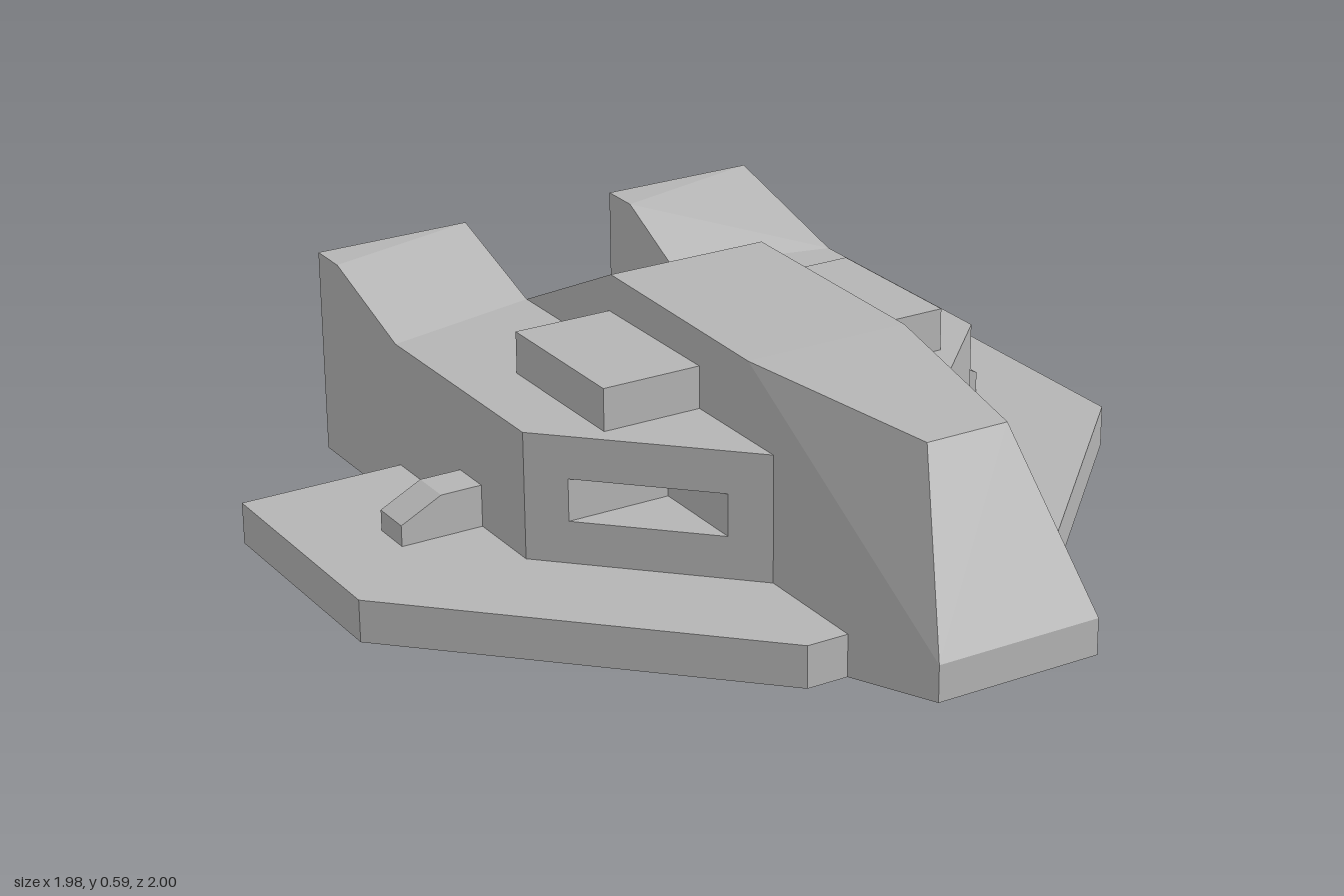
import * as THREE from 'three';
import { ConvexGeometry } from 'three/addons/geometries/ConvexGeometry.js';

const hullGrey = new THREE.MeshStandardMaterial({ color: 0xb4b4b4, flatShading: true });
hullGrey.name = 'hullGrey';

function addMesh(group, name, geometry) {
  const mesh = new THREE.Mesh(geometry, hullGrey);
  mesh.name = name;
  group.add(mesh);
}

// Horizontal slab from the +x half of a mirrored plan outline of [x, z] points.
function slab(half, y0, y1) {
  const mirrored = half.map(([x, z]) => [-x, z]).reverse();
  const shape = new THREE.Shape([...half, ...mirrored].map(([x, z]) => new THREE.Vector2(x, -z)));
  const geo = new THREE.ExtrudeGeometry(shape, { depth: y1 - y0, bevelEnabled: false });
  return geo.rotateX(-Math.PI / 2).translate(0, y0, 0);
}

const convex = (points) => new ConvexGeometry(points.map((p) => new THREE.Vector3(...p)));

// Both sides of a list of points.
const bothSides = (points) => points.flatMap(([x, y, z]) => [[x, y, z], [-x, y, z]]);

// Plan outline of the body and engines, with optional cut-outs.
function bodyOutline(frontCut, rearCut) {
  return [
    [0.2, 0.38],
    ...(frontCut ? [[0.27, 0.31], [0.27, 0.06], [0.52, 0.06]] : []),
    [0.59, -0.01],
    [0.59, -1],
    ...(rearCut ? [[0.5, -1], [0.5, -0.8], [0.29, -0.8], [0.29, -1]] : []),
    [0.2, -1],
    [0.2, -0.7],
  ];
}

export function createModel() {
  const model = new THREE.Group();
  model.name = 'spacecraft';

  // Flat wing plate
  addMesh(model, 'wing', slab([[0.3, 0.67], [0.99, -0.02], [0.99, -0.61]], 0, 0.1));

  // Body layers: front intakes and rear exhausts are cut into the outlines
  const body = new THREE.Group();
  body.name = 'body';
  addMesh(body, 'bodyFloor', slab(bodyOutline(false, false), 0, 0.1));
  addMesh(body, 'bodyLower', slab(bodyOutline(false, true), 0.1, 0.2));
  addMesh(body, 'bodyIntakes', slab(bodyOutline(true, true), 0.2, 0.3));
  addMesh(body, 'bodyUpper', slab(bodyOutline(false, true), 0.3, 0.4));
  model.add(body);

  // Central fuselage with a tapered nose and a sloping tail
  addMesh(model, 'fuselage', convex(bothSides([
    [0.2, 0.085, 1], [0.2, 0.17, 1], [0.1, 0.56, 0.8], [0.2, 0.58, 0.28],
    [0.2, 0.59, -0.3], [0.2, 0.4, -0.7], [0.2, 0, -0.7], [0.2, 0, 0.67],
  ])));

  for (const [side, s] of [['left', 1], ['right', -1]]) {
    // Ramped engine roof; the crest starts inboard on the left, outboard on the right
    addMesh(model, side + 'EngineRoof', convex([
      [s * 0.59, 0.4, -0.61], [s * 0.2, 0.4, -0.7],
      [s * 0.59, 0.4, -1], [s * 0.2, 0.4, -1],
      [s * 0.59, 0.5, -1], [s * 0.2, 0.5, -1],
      [s > 0 ? 0.2 : -0.59, 0.5, -0.9],
    ]));

    // Raised hatch beside the fuselage
    const hatch = new THREE.BoxGeometry(0.25, 0.1, 0.39);
    addMesh(model, side + 'Hatch', hatch.translate(s * 0.315, 0.45, -0.115));

    // Small sloped fitting on the wing
    const z = s > 0 ? -0.31 : -0.26;
    const fitting = [[0.58, 0.1], [0.79, 0.1], [0.79, 0.15], [0.69, 0.2], [0.58, 0.2]];
    addMesh(model, side + 'WingFitting', convex(
      fitting.flatMap(([x, y]) => [[s * x, y, z - 0.05], [s * x, y, z + 0.05]])));
  }
  return model;
}
